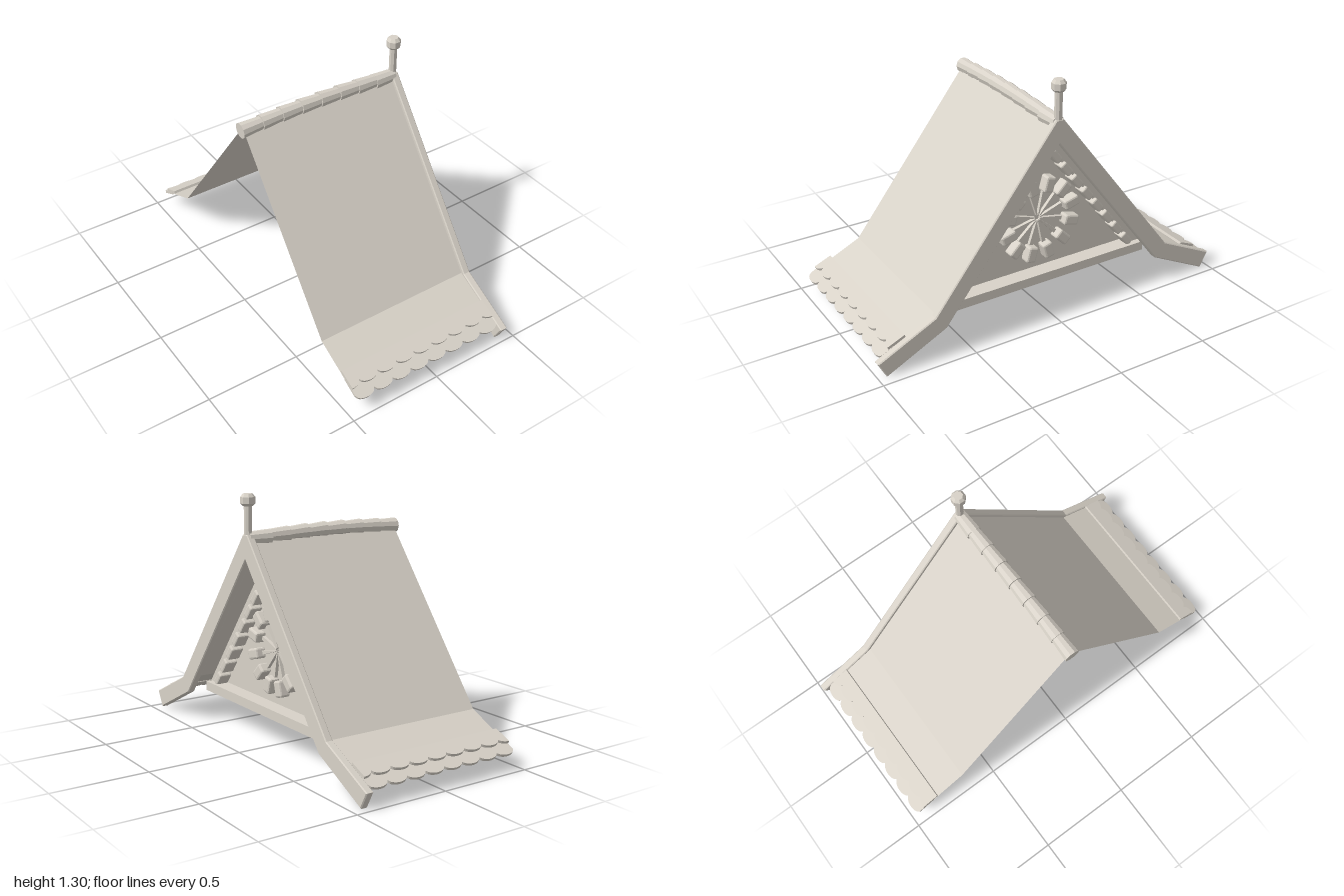
import * as THREE from 'three';
import { RoundedBoxGeometry } from 'three/addons/geometries/RoundedBoxGeometry.js';

const stone = new THREE.MeshStandardMaterial({ color: 0xd8d2c8, side: THREE.DoubleSide, flatShading: true });
stone.name = 'pale stone';

function add(parent, name, geometry, x = 0, y = 0, z = 0) {
  const mesh = new THREE.Mesh(geometry, stone);
  mesh.name = name;
  mesh.position.set(x, y, z);
  parent.add(mesh);
  return mesh;
}

// Extrudes a [z, y] outline along x, from x0 to x1
function extrudeX(points, x0, x1, bevel = 0) {
  const shape = new THREE.Shape(points.map(([z, y]) => new THREE.Vector2(-z, y)));
  const geometry = new THREE.ExtrudeGeometry(shape, {
    depth: x1 - x0 - 2 * bevel, bevelEnabled: bevel > 0, bevelSize: bevel,
    bevelThickness: bevel, bevelOffset: -bevel, bevelSegments: 1,
  });
  return geometry.rotateY(Math.PI / 2).translate(x0 + bevel, 0, 0);
}

const ROOF_X = -0.025, HALF = 0.435;

// A strip of overlapping shingles with a scalloped lower edge
function shingleRow(length, shift) {
  const pitch = 0.109, scallop = 0.03, n = 96;
  const shape = new THREE.Shape();
  shape.moveTo(HALF, 0);
  shape.lineTo(-HALF, 0);
  for (let i = 0; i <= n; i++) {
    const x = -HALF + (2 * HALF * i) / n;
    const u = (((x + HALF) / pitch + shift) % 1) * 2 - 1;
    shape.lineTo(x, -length + scallop * (1 - Math.sqrt(Math.max(0, 1 - u * u))));
  }
  return new THREE.ExtrudeGeometry(shape, { depth: 0.014, bevelEnabled: false });
}

// One roof slope: a bent sheet with two shingle rows at the eave
function roofSlope(name) {
  const slope = new THREE.Group();
  slope.name = name;
  slope.position.x = ROOF_X;
  const profile = [[0, 1.1], [0.67, 0.235], [0.835, 0.158], [0.93, 0.108]];
  const sheet = new THREE.PlaneGeometry(2 * HALF, 1, 1, profile.length - 1);
  const pos = sheet.attributes.position;
  for (let i = 0; i < pos.count; i++) {
    const [z, y] = profile[Math.floor(i / 2)];
    pos.setXYZ(i, pos.getX(i), y, z);
  }
  sheet.computeVertexNormals();
  add(slope, 'roofSheet', sheet);
  add(slope, 'lowerShingles', shingleRow(0.125, 0), 0, 0.14, 0.86).rotation.x = -1.1;
  add(slope, 'upperShingles', shingleRow(0.1, 0.5), 0, 0.165, 0.832).rotation.x = -1.17;
  return slope;
}

export function createModel() {
  const model = new THREE.Group();
  model.name = 'gableRoof';

  // Roof slopes
  const front = roofSlope('frontSlope');
  const back = roofSlope('backSlope');
  back.rotation.y = Math.PI;
  model.add(front, back);

  // Overlapping ridge tiles along a gently bowed line
  const ridge = new THREE.Group();
  ridge.name = 'ridgeTiles';
  for (let i = 0; i < 8; i++) {
    const x = -0.412 + i * 0.112;
    const tile = new THREE.CylinderGeometry(0.041, 0.034, 0.122, 10).rotateZ(Math.PI / 2);
    add(ridge, 'ridgeTile', tile, x, 1.097 - 0.07 * (x + 0.06) ** 2, 0).rotation.z = 0.04 * Math.cos(i * 0.7);
  }
  model.add(ridge);

  // Flared bargeboard on the gable end
  const outer = [[1, 0.09], [0.69, 0.24], [0.02, 1.105]];
  const inner = [[0.63, 0.165], [0.955, 0.005]];
  const flip = (list) => list.map(([z, y]) => [-z, y]).reverse();
  const board = [...outer, ...flip(outer), ...flip(inner), [0, 0.98], ...inner];
  add(model, 'bargeboard', extrudeX(board, 0.41, 0.45, 0.005));

  // Finial post and knob
  add(model, 'finialPost', new THREE.CylinderGeometry(0.02, 0.02, 0.2, 8), 0.43, 1.16, 0).rotation.y = Math.PI / 8;
  const knob = [[0, 1.244], [0.026, 1.244], [0.037, 1.256], [0.037, 1.288], [0.024, 1.304], [0, 1.304]]
    .map(([r, y]) => new THREE.Vector2(r, y));
  add(model, 'finialKnob', new THREE.LatheGeometry(knob, 8), 0.43, 0, 0).rotation.y = Math.PI / 8;

  // Recessed gable wall with sill and lower rail
  const gable = new THREE.Group();
  gable.name = 'gable';
  add(gable, 'wall', extrudeX([[0.63, 0.18], [0, 1.02], [-0.63, 0.18]], 0.2, 0.25));
  add(gable, 'sill', new THREE.BoxGeometry(0.14, 0.05, 1.26), 0.265, 0.185, 0);
  add(gable, 'lowerRail', new THREE.BoxGeometry(0.04, 0.045, 1.34), 0.2, 0.14, 0);

  // Sloping trim and dentil blocks on both sides
  const angle = Math.atan(1 / 1.294);
  for (const side of [1, -1]) {
    const along = (apex, d) => [apex - d * Math.cos(angle), side * d * Math.sin(angle)];
    const [ty, tz] = along(0.99, 0.52);
    add(gable, 'slopeTrim', new THREE.BoxGeometry(0.05, 0.98, 0.055), 0.275, ty, tz).rotation.x = -side * angle;
    for (let i = 0; i < 8; i++) {
      const [y, z] = along(0.937, 0.12 + i * 0.108);
      const block = new RoundedBoxGeometry(0.07, 0.082, 0.04, 1, 0.008);
      add(gable, 'dentil', block, 0.285, y, z).rotation.x = -side * angle;
    }
  }

  // Rosette of twelve blocks with tapered spokes
  const rosette = new THREE.Group();
  rosette.name = 'rosette';
  rosette.position.set(0.25, 0.5, 0);
  for (let i = 0; i < 12; i++) {
    const petal = new THREE.Group();
    petal.name = 'petal';
    petal.rotation.x = ((i + 0.5) * Math.PI) / 6;
    add(petal, 'petalBlock', new RoundedBoxGeometry(0.06, 0.086, 0.056, 1, 0.01), 0.025, 0.193, 0);
    add(petal, 'spoke', extrudeX([[0.003, 0.015], [0.011, 0.155], [-0.011, 0.155], [-0.003, 0.015]], 0, 0.018));
    rosette.add(petal);
  }
  gable.add(rosette);
  model.add(gable);
  return model;
}
